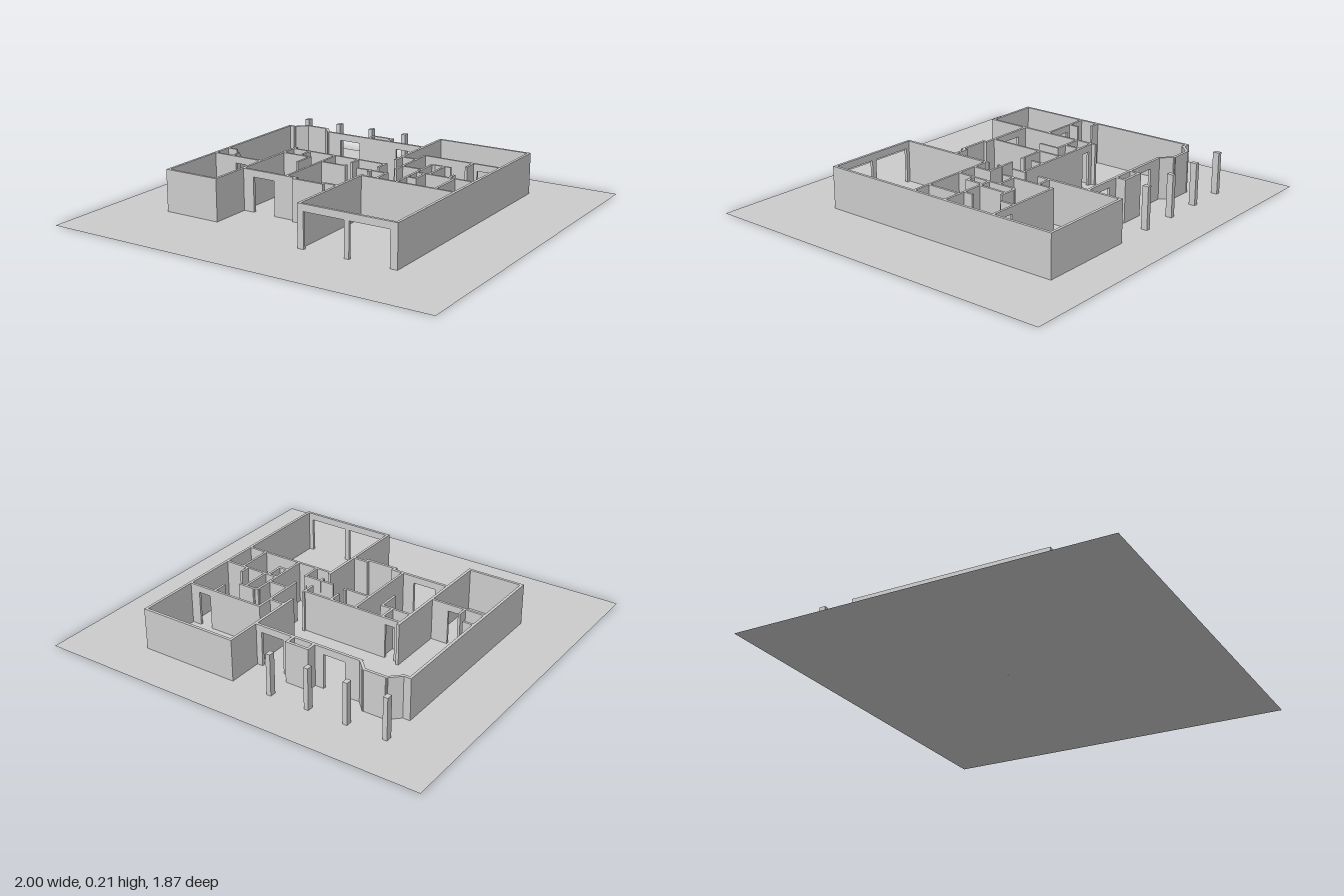
import * as THREE from 'three';

const HEIGHT = 0.21, DOOR = 0.175;
const material = new THREE.MeshStandardMaterial({ color: 0xcccccc, flatShading: true });

// Straight wall between two plan points; doors are [from, to] distances along it.
function wall(name, x1, z1, x2, z2, t = 0.012, doors = []) {
  const len = Math.hypot(x2 - x1, z2 - z1);
  const s = new THREE.Shape();
  s.moveTo(-t / 2, 0);
  for (const [a, b] of doors) {
    s.lineTo(a, 0);
    s.lineTo(a, DOOR);
    s.lineTo(b, DOOR);
    s.lineTo(b, 0);
  }
  s.lineTo(len + t / 2, 0);
  s.lineTo(len + t / 2, HEIGHT);
  s.lineTo(-t / 2, HEIGHT);
  s.closePath();
  const geo = new THREE.ExtrudeGeometry(s, { depth: t, bevelEnabled: false });
  geo.translate(0, 0, -t / 2);
  const mesh = new THREE.Mesh(geo, material);
  mesh.name = name;
  mesh.position.set(x1, 0, z1);
  mesh.rotation.y = -Math.atan2(z2 - z1, x2 - x1);
  return mesh;
}

export function createModel() {
  const model = new THREE.Group();
  model.name = 'floorPlanHouse';

  // Thin ground sheet
  const groundMaterial = material.clone();
  groundMaterial.side = THREE.DoubleSide;
  const ground = new THREE.Mesh(new THREE.PlaneGeometry(2, 1.865), groundMaterial);
  ground.name = 'groundSheet';
  ground.rotation.x = -Math.PI / 2;
  model.add(ground);

  // Outer walls: x1, z1, x2, z2, doors
  const outer = new THREE.Group();
  outer.name = 'outerWalls';
  const T = 0.014;
  const outerWalls = [
    ['rightWall', 0.622, -0.697, 0.622, 0.58],
    ['backRoomBackWall', 0.127, -0.697, 0.622, -0.697],
    ['backRoomSideWall', 0.127, -0.697, 0.127, -0.245],
    ['garageFrontWall', 0.127, 0.58, 0.622, 0.58, [[0.025, 0.235], [0.26, 0.465]]],
    ['garageSideWall', 0.127, 0.067, 0.127, 0.58],
    ['leftWall', -0.692, -0.518, -0.692, 0.483],
    ['leftRoomFrontWall', -0.692, 0.483, -0.409, 0.483],
    ['leftRoomSideWall', -0.409, -0.165, -0.409, 0.483],
    ['entranceWall', -0.409, 0.272, -0.103, 0.272, [[0.064, 0.184]]],
    ['frontBayLeft', -0.103, 0.272, -0.103, 0.29],
    ['frontBay', -0.103, 0.29, 0.052, 0.29],
    ['frontBayRight', 0.052, 0.272, 0.052, 0.29],
    ['frontBayReturn', 0.052, 0.272, 0.127, 0.272],
    ['backCornerWall', -0.692, -0.518, -0.66, -0.518],
    ['backBayLeft', -0.66, -0.518, -0.607, -0.57],
    ['backBay', -0.607, -0.57, -0.492, -0.57],
    ['backBayRight', -0.492, -0.57, -0.442, -0.518],
    ['backWall', -0.442, -0.518, 0.127, -0.518, [[0.077, 0.192], [0.412, 0.532]]],
    ['fireplaceLeft', -0.198, -0.57, -0.198, -0.518],
    ['fireplaceBack', -0.198, -0.57, -0.087, -0.57],
    ['fireplaceRight', -0.087, -0.57, -0.087, -0.518],
  ];
  for (const [n, a, b, c, d, doors] of outerWalls) outer.add(wall(n, a, b, c, d, T, doors));
  model.add(outer);

  // Partitions between the rooms
  const inner = new THREE.Group();
  inner.name = 'innerWalls';
  const innerWalls = [
    [-0.686, 0.125, -0.409, 0.125, [[0.125, 0.185]]],
    [-0.686, 0.022, -0.64, 0.022],
    [-0.587, 0.075, -0.587, 0.125],
    [-0.409, -0.146, 0.12, -0.146, [[0.03, 0.08]]],
    [-0.403, -0.058, -0.252, -0.058],
    [-0.31, -0.14, -0.31, -0.058],
    [-0.252, -0.058, -0.252, 0.045],
    [-0.16, -0.14, -0.16, 0.27],
    [-0.16, -0.02, -0.027, -0.02],
    [-0.024, -0.03, -0.024, -0.02],
    [-0.024, -0.14, -0.024, -0.085],
    [0.055, -0.018, 0.211, -0.018],
    [0.124, -0.155, 0.124, -0.09],
    [0.124, -0.02, 0.124, 0.002],
    [0.127, -0.303, 0.211, -0.303],
    [0.211, -0.384, 0.211, -0.105],
    [0.211, -0.02, 0.211, 0.075],
    [0.211, -0.384, 0.62, -0.384, [[0.289, 0.355]]],
    [0.211, -0.163, 0.319, -0.163],
    [0.319, -0.25, 0.319, 0.075],
    [0.319, -0.25, 0.335, -0.262],
    [0.335, -0.262, 0.415, -0.262],
    [0.386, -0.262, 0.386, -0.108],
    [0.319, -0.108, 0.62, -0.108],
    [0.493, -0.155, 0.493, -0.108],
    [0.476, -0.384, 0.476, -0.315],
    [0.522, -0.108, 0.522, 0.075],
    [0.367, -0.108, 0.367, -0.018],
    [0.319, -0.018, 0.367, -0.018],
    [0.127, 0.077, 0.62, 0.077],
  ];
  for (const [a, b, c, d, doors] of innerWalls) inner.add(wall('partition', a, b, c, d, 0.012, doors));
  model.add(inner);

  // Row of porch posts behind the house
  for (let i = 0; i < 4; i++) {
    const post = new THREE.Mesh(new THREE.BoxGeometry(0.023, HEIGHT, 0.032), material);
    post.name = 'porchPost';
    post.position.set(-0.688 + i * 0.2015, HEIGHT / 2, -0.691);
    model.add(post);
  }
  return model;
}
